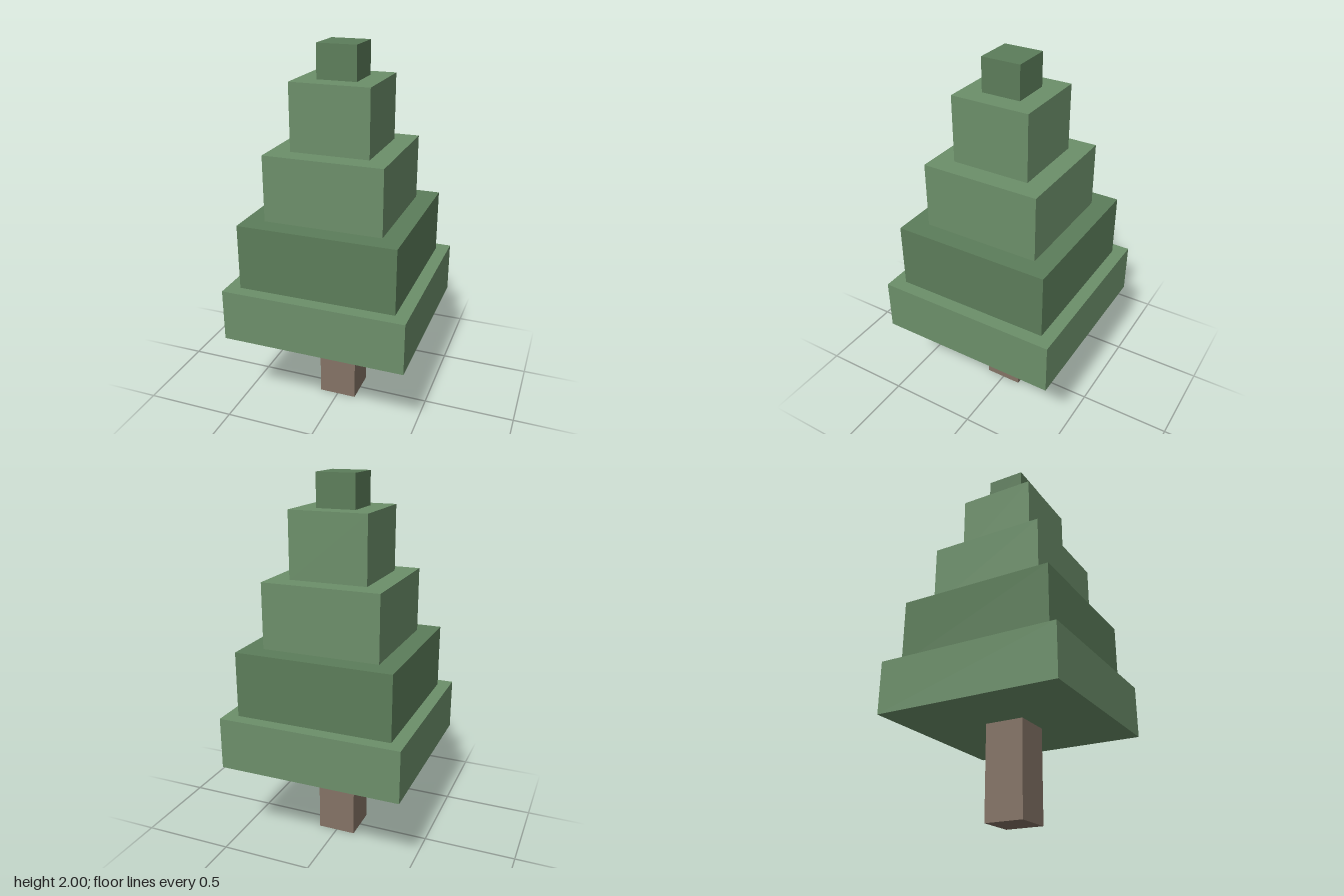
import * as THREE from 'three';

const LIGHT = 0x6c8f6a, DARK = 0x5c7d5a, BARK = 0x847365;

// Square block standing between two heights
function block(name, width, bottom, top, color) {
  const mesh = new THREE.Mesh(
    new THREE.BoxGeometry(width, top - bottom, width),
    new THREE.MeshStandardMaterial({ color, flatShading: true })
  );
  mesh.name = name;
  mesh.position.y = (bottom + top) / 2;
  return mesh;
}

export function createModel() {
  const tree = new THREE.Group();
  tree.name = 'blockTree';

  tree.add(block('trunk', 0.21, 0, 0.495, BARK));

  // Foliage tiers from the lowest up: width, top height, colour
  const tiers = [
    [0.983, 0.775, LIGHT],
    [0.843, 1.125, DARK],
    [0.632, 1.475, LIGHT],
    [0.42, 1.825, LIGHT],
    [0.21, 2, DARK],
  ];
  let bottom = 0.495;
  tiers.forEach(([width, top, color], i) => {
    tree.add(block(`foliageTier${i + 1}`, width, bottom, top, color));
    bottom = top;
  });

  return tree;
}
